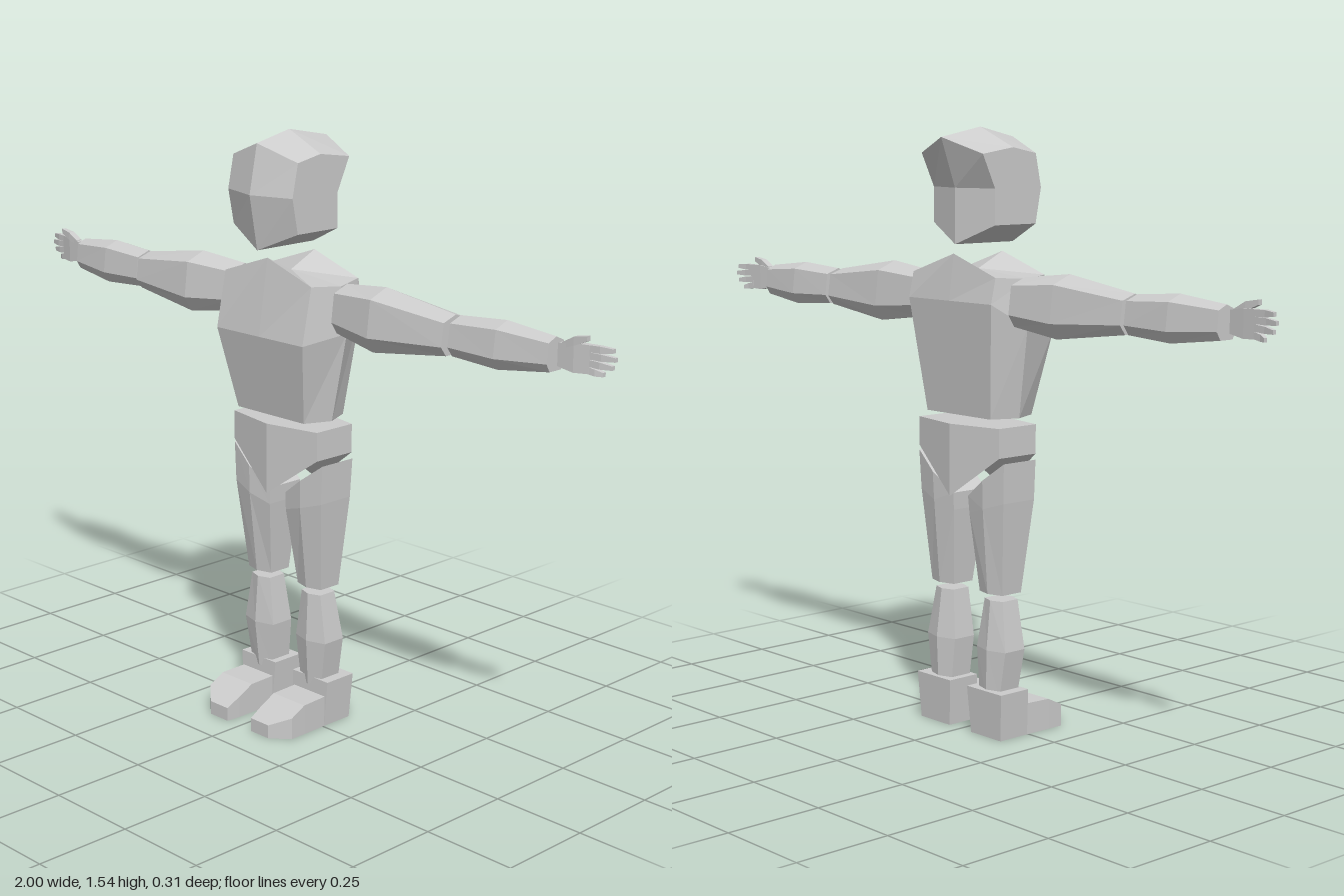
import * as THREE from 'three';

const material = new THREE.MeshStandardMaterial({ color: 0xcccccc, flatShading: true });

// Skins a list of equal-length rings and caps both ends; faces are turned outward by signed volume.
function loft(name, rings) {
  const n = rings[0].length;
  const tris = [];
  for (let r = 0; r < rings.length - 1; r++) {
    for (let i = 0; i < n; i++) {
      const j = (i + 1) % n;
      const [a, b, c, d] = [rings[r][i], rings[r][j], rings[r + 1][j], rings[r + 1][i]];
      tris.push([a, b, c], [a, c, d]);
    }
  }
  const cap = (ring, flip) => {
    const mid = [0, 1, 2].map(k => ring.reduce((s, p) => s + p[k], 0) / n);
    ring.forEach((p, i) => {
      const q = ring[(i + 1) % n];
      tris.push(flip ? [mid, q, p] : [mid, p, q]);
    });
  };
  cap(rings[0], true);
  cap(rings[rings.length - 1], false);
  let volume = 0;
  for (const t of tris) {
    const [a, b, c] = t.map(p => new THREE.Vector3(...p));
    volume += a.dot(b.cross(c));
  }
  if (volume < 0) tris.forEach(t => t.reverse());
  const geometry = new THREE.BufferGeometry();
  geometry.setAttribute('position', new THREE.Float32BufferAttribute(tris.flat(2), 3));
  geometry.computeVertexNormals();
  const mesh = new THREE.Mesh(geometry, material);
  mesh.name = name;
  return mesh;
}

// Head: side outlines around a taller, deeper centre outline
function makeHead() {
  const side = [[0.057, 1.3], [0.075, 1.39], [0.057, 1.475], [-0.02, 1.49], [-0.12, 1.475], [-0.08, 1.39], [-0.08, 1.3]];
  const centre = [[0.085, 1.25], [0.11, 1.39], [0.085, 1.515], [-0.025, 1.54], [-0.155, 1.515], [-0.11, 1.39], [-0.11, 1.25]];
  const at = (x, pts) => pts.map(([z, y]) => [x, y, z]);
  return loft('head', [at(-0.115, side), at(0, centre), at(0.115, side)]);
}

// Torso ring: eight points, with separate front, side, back and centre values
function torsoRing([xf, yf, zf], [xs, ys, zs], [xb, yb, zb], rise = 0) {
  return [
    [0, yf + rise, zf], [xf, yf, zf], [xs, ys, zs], [xb, yb, zb],
    [0, yb + rise, zb], [-xb, yb, zb], [-xs, ys, zs], [-xf, yf, zf],
  ];
}

function makeTorso() {
  return loft('torso', [
    torsoRing([0.12, 0.82, 0.04], [0.15, 0.82, -0.03], [0.12, 0.82, -0.1]),
    torsoRing([0.155, 1.03, 0.08], [0.19, 1.05, -0.04], [0.155, 1.11, -0.13]),
    torsoRing([0.155, 1.175, 0.05], [0.18, 1.17, -0.03], [0.155, 1.175, -0.115], 0.052),
  ]);
}

// Six-sided ring with a ridge down the front and back; yi, yo are inner and outer heights
function ridged(xi, xo, yi, yo, front, back, ridge) {
  const xm = (xi + xo) / 2, ym = (yi + yo) / 2;
  return [
    [xi, yi, front - ridge], [xm, ym, front], [xo, yo, front - ridge],
    [xo, yo, back + ridge], [xm, ym, back], [xi, yi, back + ridge],
  ];
}

// Pelvis: ridged block whose underside drops to a V
function makePelvis() {
  const top = ridged(-0.152, 0.152, 0.8, 0.8, 0.055, -0.13, 0.03);
  const bottom = top.map(([x, , z]) => [x, x === 0 ? 0.615 : 0.725, z]);
  return loft('pelvis', [bottom, top]);
}

function mirror(rings, s) {
  return rings.map(ring => ring.map(([x, y, z]) => [x * s, y, z]));
}

function makeLeg(s) {
  const leg = new THREE.Group();
  leg.name = s > 0 ? 'leftLeg' : 'rightLeg';
  const add = (name, rings) => leg.add(loft(name, mirror(rings, s)));

  add('thigh', [
    ridged(0.05, 0.135, 0.37, 0.37, 0.003, -0.085, 0.012),
    ridged(0.03, 0.157, 0.57, 0.61, 0.027, -0.102, 0.012),
    ridged(0.028, 0.162, 0.615, 0.712, 0.027, -0.105, 0.012),
  ]);
  add('shin', [
    ridged(0.055, 0.13, 0.1, 0.1, -0.005, -0.09, 0.012),
    ridged(0.043, 0.15, 0.225, 0.225, 0.006, -0.092, 0.016),
    ridged(0.06, 0.128, 0.352, 0.352, -0.002, -0.077, 0.012),
  ]);

  // Ankle cuff flares slightly upward
  const square = (y, x0, x1, z0, z1) => [[x0, y, z0], [x1, y, z0], [x1, y, z1], [x0, y, z1]];
  add('ankleCuff', [square(0, 0.042, 0.154, -0.096, -0.004), square(0.122, 0.033, 0.162, -0.102, -0.008)]);

  // Foot slopes down to a toe that is clipped on the outer corner
  const section = (z, x0, x1, h) => [[x0, 0, z], [x1, 0, z], [x1, h, z], [x0, h, z]];
  add('foot', [
    section(-0.006, 0.042, 0.154, 0.082),
    section(0.07, 0.042, 0.156, 0.08),
    section(0.115, 0.042, 0.156, 0.057),
    section(0.155, 0.045, 0.11, 0.036),
  ]);
  return leg;
}

// Arm ring: roof-shaped top and chamfered lower edges
function armRing(x, yLow, yHigh, front, back) {
  const h = yHigh - yLow, d = front - back, zm = (front + back) / 2;
  return [
    [x, yHigh, zm], [x, yHigh - h * 0.15, front - d * 0.08], [x, yLow + h * 0.25, front],
    [x, yLow, front - d * 0.18], [x, yLow, back + d * 0.18],
    [x, yLow + h * 0.25, back], [x, yHigh - h * 0.15, back + d * 0.08],
  ];
}

function makeHand(s) {
  const hand = new THREE.Group();
  hand.name = s > 0 ? 'leftHand' : 'rightHand';
  const section = (x, y0, y1, z, t) => [[x, y0, z - t], [x, y1, z - t], [x, y1, z + t], [x, y0, z + t]];
  const add = (name, rings) => hand.add(loft(name, mirror(rings, s)));

  add('palm', [
    section(0.857, 1.088, 1.142, -0.042, 0.01),
    section(0.9, 1.08, 1.148, -0.045, 0.011),
    section(0.938, 1.082, 1.148, -0.05, 0.008),
  ]);
  // Fingers: height at knuckle, height at tip, reach
  [[1.14, 1.141, 0.993], [1.124, 1.122, 1], [1.107, 1.102, 0.992], [1.09, 1.083, 0.968]].forEach(([yk, yt, tip]) => {
    const mid = (0.935 + tip) / 2, ym = (yk + yt) / 2;
    add('finger', [
      section(0.932, yk - 0.008, yk + 0.008, -0.05, 0.008),
      section(mid, ym - 0.008, ym + 0.008, -0.053, 0.007),
      section(tip, yt - 0.005, yt + 0.005, -0.06, 0.005),
    ]);
  });
  add('thumb', [
    section(0.868, 1.13, 1.145, -0.042, 0.009),
    section(0.9, 1.142, 1.163, -0.042, 0.009),
    section(0.935, 1.157, 1.169, -0.042, 0.006),
  ]);
  return hand;
}

function makeArm(s) {
  const arm = new THREE.Group();
  arm.name = s > 0 ? 'leftArm' : 'rightArm';
  arm.add(loft('upperArm', mirror([
    armRing(0.185, 1.055, 1.175, 0.01, -0.1),
    armRing(0.33, 1.035, 1.19, 0.036, -0.1),
    armRing(0.55, 1.062, 1.157, 0.015, -0.085),
  ], s)));
  arm.add(loft('forearm', mirror([
    armRing(0.562, 1.063, 1.157, 0.006, -0.085),
    armRing(0.7, 1.055, 1.167, 0.006, -0.092),
    armRing(0.842, 1.072, 1.152, -0.013, -0.077),
  ], s)));
  arm.add(makeHand(s));
  return arm;
}

export function createModel() {
  const model = new THREE.Group();
  model.name = 'figure';
  model.add(makeHead(), makeTorso(), makePelvis());
  for (const s of [1, -1]) model.add(makeArm(s), makeLeg(s));
  return model;
}
